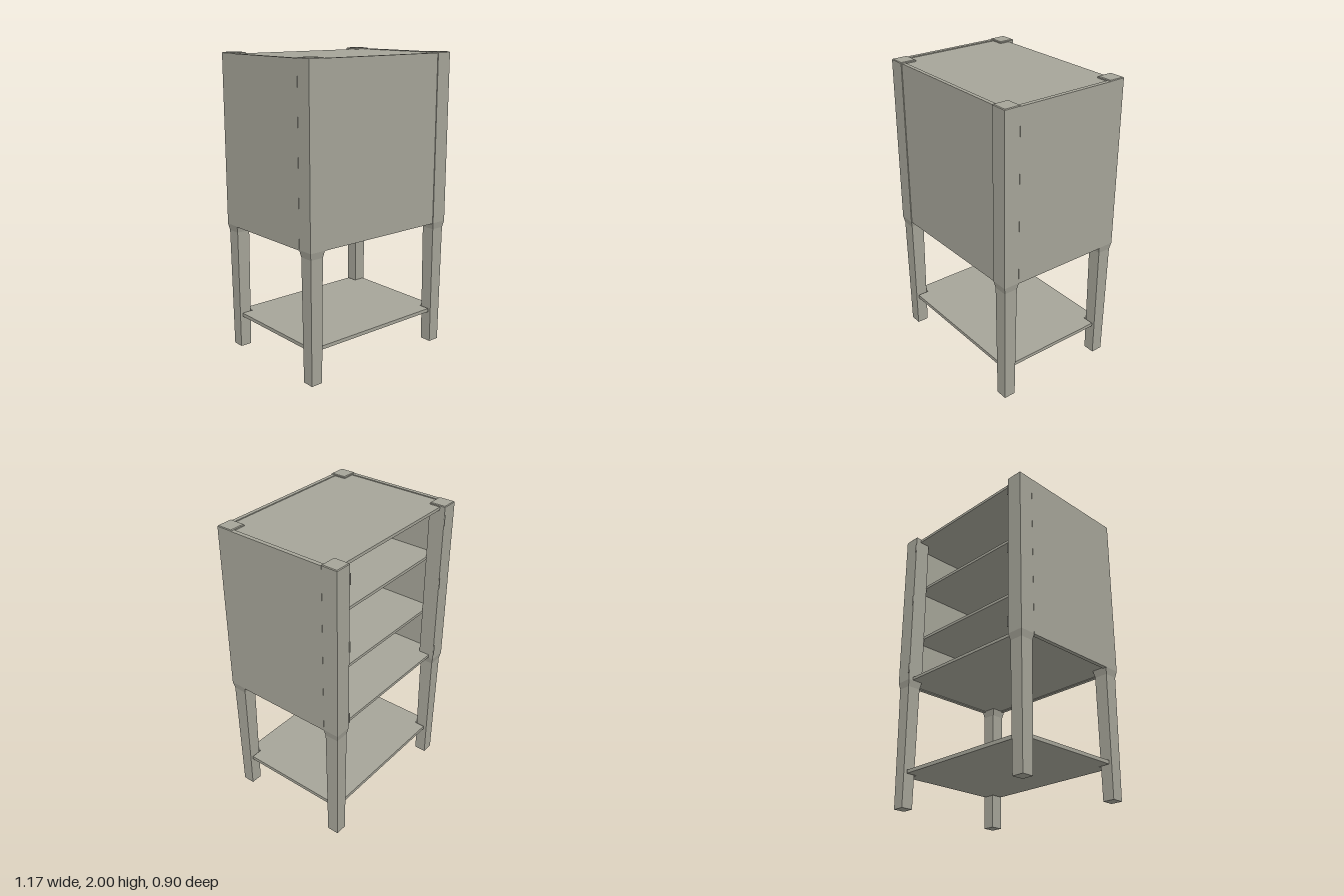
import * as THREE from 'three';

export function createModel() {
  const model = new THREE.Group();
  model.name = 'cabinetOnLegs';
  const paint = new THREE.MeshStandardMaterial({ color: 0xa5a498, flatShading: true });
  paint.name = 'warm grey paint';

  const add = (name, geometry, x = 0, y = 0, z = 0) => {
    const mesh = new THREE.Mesh(geometry, paint);
    mesh.name = name;
    mesh.position.set(x, y, z);
    model.add(mesh);
    return mesh;
  };
  // Box given by its limits on each axis
  const slab = (name, x0, x1, y0, y1, z0, z1) =>
    add(name, new THREE.BoxGeometry(x1 - x0, y1 - y0, z1 - z0),
      (x0 + x1) / 2, (y0 + y1) / 2, (z0 + z1) / 2);

  // Square board with its four corners cut out around the legs
  const notchedBoard = (name, x, zBack, zFront, y, thickness) => {
    const nx = 0.475, nb = -0.34, nf = 0.345;
    const outline = [
      [-nx, zBack], [nx, zBack], [nx, nb], [x, nb], [x, nf], [nx, nf],
      [nx, zFront], [-nx, zFront], [-nx, nf], [-x, nf], [-x, nb], [-nx, nb],
    ].map(([px, pz]) => new THREE.Vector2(px, -pz));
    const geometry = new THREE.ExtrudeGeometry(new THREE.Shape(outline), { depth: thickness, bevelEnabled: false });
    geometry.rotateX(-Math.PI / 2);
    return add(name, geometry, 0, y, 0);
  };

  // Square posts: tapered foot, shoulder, straight upper part, eased top
  const legProfile = [
    [0, 0], [0.04, 0], [0.046, 0.82], [0.055, 0.865], [0.055, 1.995], [0.051, 2], [0, 2],
  ].map(([half, y]) => new THREE.Vector2(half * Math.SQRT2, y));
  const legGeometry = new THREE.LatheGeometry(legProfile, 4).rotateY(Math.PI / 4);

  for (const side of [-1, 1]) {
    const label = side > 0 ? 'left' : 'right';
    add(label + 'FrontLeg', legGeometry, side * 0.527, 0, 0.394);
    add(label + 'BackLeg', legGeometry, side * 0.527, 0, -0.39);
    // Side wall between the posts
    const wall = slab(label + 'Wall', 0.555, 0.583, 0.862, 1.994, -0.338, 0.342);
    wall.position.x *= side;
    // Hinge pins on the rear posts
    for (const y of [0.945, 1.465, 1.905]) {
      add(label + 'Hinge', new THREE.CylinderGeometry(0.005, 0.005, 0.07, 10), side * 0.472, y, -0.447);
    }
  }

  // Front wall and cabinet boards
  slab('frontWall', -0.475, 0.475, 0.862, 1.994, 0.418, 0.444);
  notchedBoard('topBoard', 0.556, -0.408, 0.419, 1.968, 0.02);
  notchedBoard('cabinetFloor', 0.556, -0.411, 0.419, 0.868, 0.02);
  for (const y of [1.21, 1.615]) {
    slab('innerShelf', -0.556, 0.556, y - 0.01, y + 0.01, -0.337, 0.419);
  }

  // Low shelf between the legs
  notchedBoard('lowerShelf', 0.555, -0.415, 0.425, 0.22, 0.024);

  return model;
}
